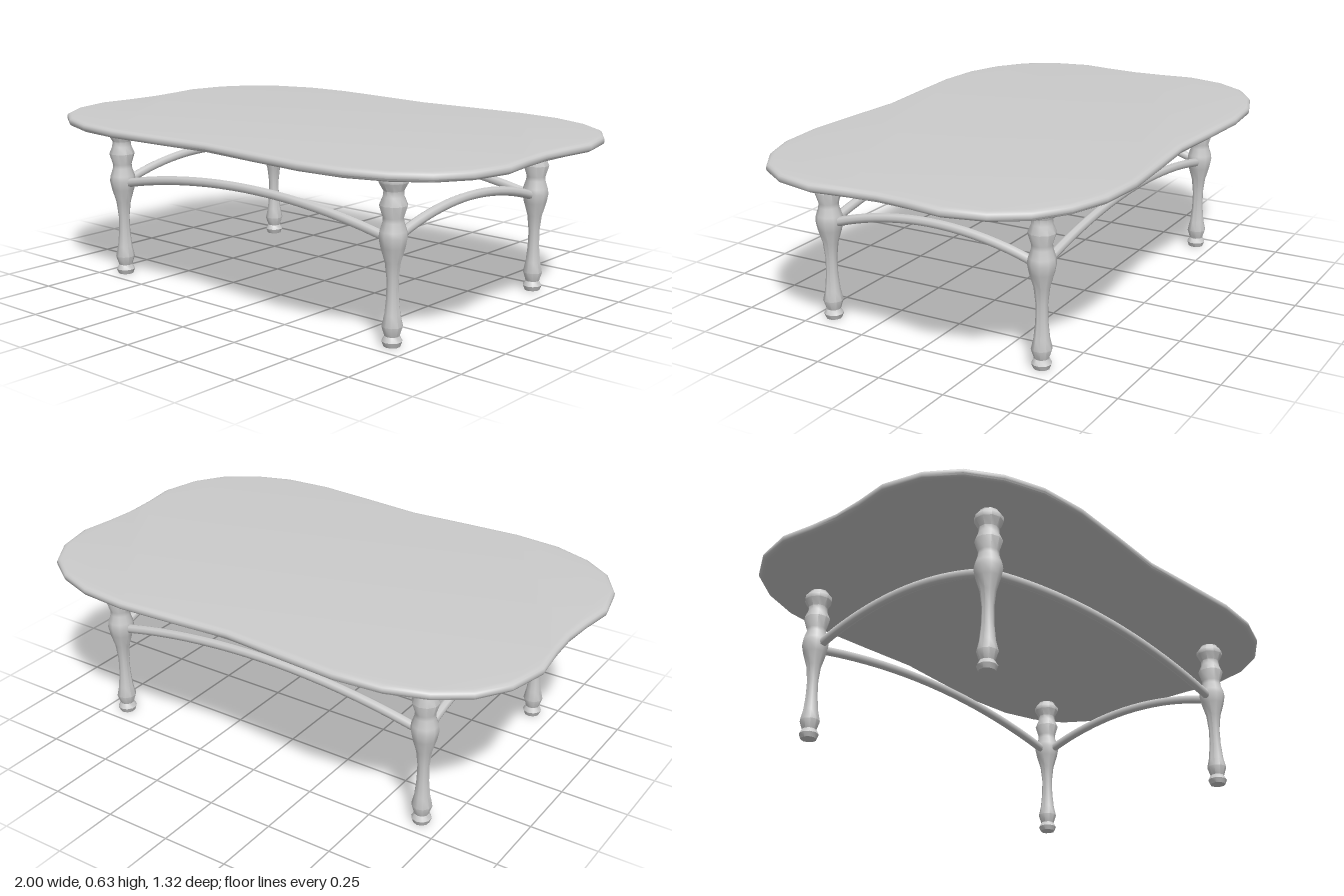
import * as THREE from 'three';
import { toCreasedNormals } from 'three/addons/utils/BufferGeometryUtils.js';

const material = new THREE.MeshStandardMaterial({ color: 0xcccccc });
const LEG_X = 0.67, LEG_Z = 0.43;

function addMesh(parent, name, geometry) {
  const mesh = new THREE.Mesh(geometry, material);
  mesh.name = name;
  parent.add(mesh);
  return mesh;
}

// Wavy-edged top: one quarter of the outline, mirrored to all four
function topGeometry() {
  const quarter = [
    [0.975, 0], [0.983, 0.12], [1, 0.25], [0.965, 0.4], [0.89, 0.515],
    [0.775, 0.595], [0.63, 0.645], [0.45, 0.66], [0.22, 0.645], [0, 0.628],
  ];
  const half = [...quarter, ...quarter.slice(0, -1).reverse().map(([x, z]) => [-x, z])];
  const outline = [...half, ...half.slice(1, -1).reverse().map(([x, z]) => [x, -z])];
  const shape = new THREE.Shape(outline.map(([x, z]) => new THREE.Vector2(x, z)));
  const geometry = new THREE.ExtrudeGeometry(shape, {
    depth: 0.009, bevelThickness: 0.0125, bevelSize: 0.022, bevelOffset: -0.022, bevelSegments: 3,
  });
  geometry.rotateX(-Math.PI / 2);
  geometry.translate(0, 0.608, 0);
  return toCreasedNormals(geometry, 0.7);
}

// Turned leg profile: radius, height
function legGeometry() {
  const profile = [
    [0, 0], [0.029, 0], [0.036, 0.018], [0.026, 0.036], [0.037, 0.07], [0.028, 0.11],
    [0.022, 0.17], [0.021, 0.23], [0.028, 0.29], [0.043, 0.34], [0.05, 0.375],
    [0.047, 0.395], [0.037, 0.425], [0.036, 0.44], [0.049, 0.482], [0.037, 0.51],
    [0.035, 0.53], [0.051, 0.558], [0.051, 0.573], [0.035, 0.592], [0.035, 0.604],
  ].map(([r, y]) => new THREE.Vector2(r, y));
  return toCreasedNormals(new THREE.LatheGeometry(profile, 10), 0.75);
}

// Arched rail between two leg positions
function railGeometry(x1, z1, x2, z2) {
  const points = [];
  for (let i = 0; i <= 8; i++) {
    const t = i / 8;
    points.push(new THREE.Vector3(
      THREE.MathUtils.lerp(x1, x2, t),
      0.362 + 0.076 * 4 * t * (1 - t),
      THREE.MathUtils.lerp(z1, z2, t),
    ));
  }
  return new THREE.TubeGeometry(new THREE.CatmullRomCurve3(points), 20, 0.017, 8);
}

export function createModel() {
  const table = new THREE.Group();
  table.name = 'table';
  addMesh(table, 'tableTop', topGeometry());

  const leg = legGeometry();
  for (const sx of [1, -1]) {
    for (const sz of [1, -1]) {
      const name = (sz > 0 ? 'front' : 'back') + (sx > 0 ? 'Left' : 'Right') + 'Leg';
      addMesh(table, name, leg).position.set(sx * LEG_X, 0, sz * LEG_Z);
    }
  }

  // Stretchers on all four sides
  for (const s of [1, -1]) {
    addMesh(table, s > 0 ? 'frontStretcher' : 'backStretcher',
      railGeometry(-LEG_X, s * LEG_Z, LEG_X, s * LEG_Z));
    addMesh(table, s > 0 ? 'leftStretcher' : 'rightStretcher',
      railGeometry(s * LEG_X, -LEG_Z, s * LEG_X, LEG_Z));
  }
  return table;
}
